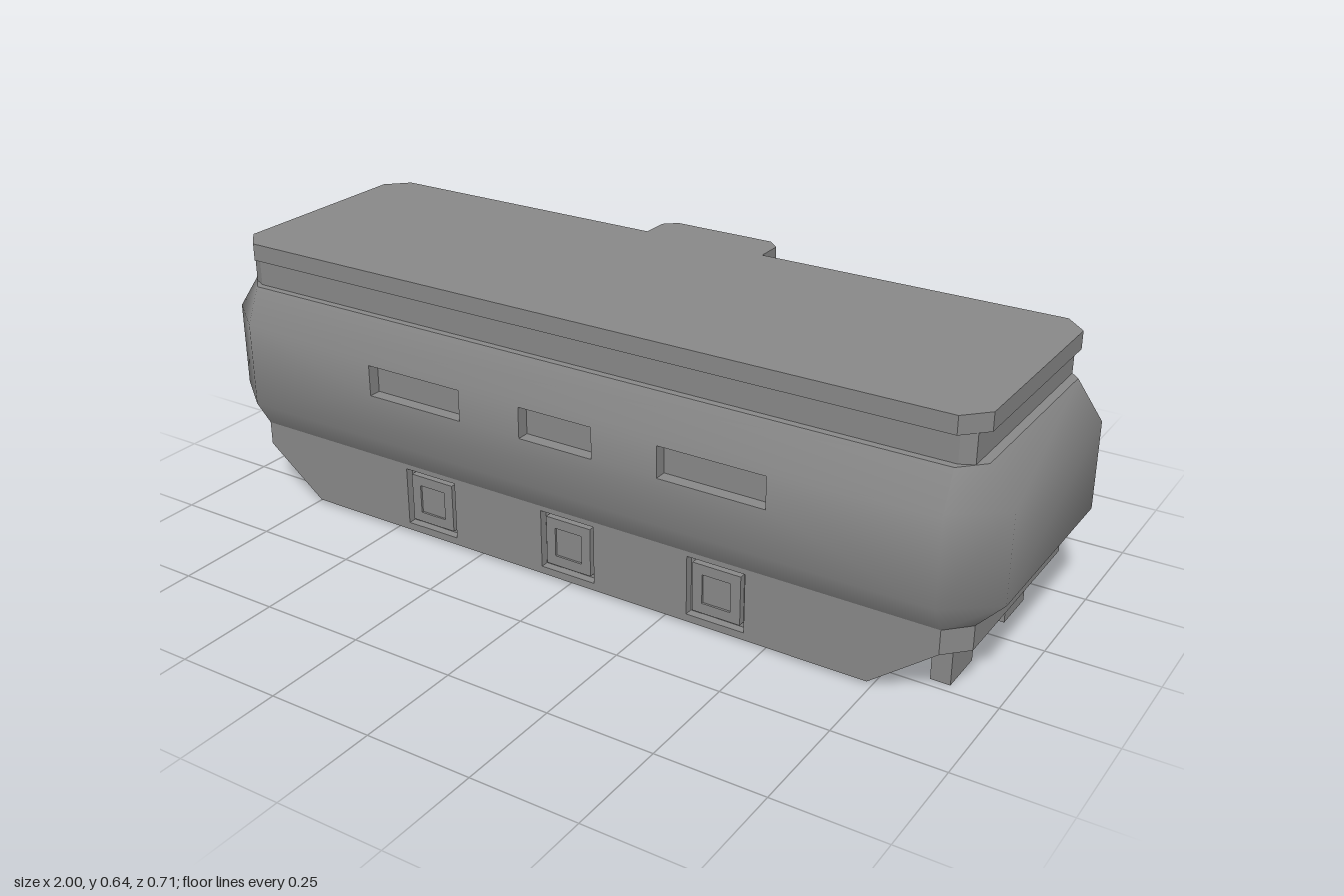
import * as THREE from 'three';

const material = new THREE.MeshStandardMaterial({ color: 0x888888 });

export function createModel() {
  const model = new THREE.Group();

  const add = (name, geometry, x = 0, y = 0, z = 0, parent = model) => {
    const mesh = new THREE.Mesh(geometry, material);
    mesh.name = name;
    mesh.position.set(x, y, z);
    parent.add(mesh);
    return mesh;
  };
  const box = (name, w, h, d, x, y, z) => add(name, new THREE.BoxGeometry(w, h, d), x, y, z);
  const polygon = (points) => new THREE.Shape(points.map(([x, y]) => new THREE.Vector2(x, y)));
  const rect = (x0, x1, y0, y1) => [[x0, y0], [x1, y0], [x1, y1], [x0, y1]];

  // Plan outline (x, z) pulled up from y0 to y1
  const prism = (name, plan, y0, y1) => {
    const g = new THREE.ExtrudeGeometry(polygon(plan.map(([x, z]) => [x, -z])),
      { depth: y1 - y0, bevelEnabled: false });
    return add(name, g.rotateX(-Math.PI / 2), 0, y0, 0);
  };
  // Slab facing +z, front at z = 0, pierced by holes
  const slab = (outline, holes, depth) => {
    const shape = polygon(outline);
    shape.holes = holes.map(polygon);
    return new THREE.ExtrudeGeometry(shape, { depth, bevelEnabled: false }).translate(0, 0, -depth);
  };
  // Chamfered plan, running round from the front left corner
  const octagon = (x, xc, zf, zfc, zb, zbc) => [
    [xc, zf], [x, zfc], [x, zbc], [xc, zb], [0.14, zb],
    [-0.14, zb], [-xc, zb], [-x, zbc], [-x, zfc], [-xc, zf]];

  // Front and back side groups; the back one is turned round
  const front = new THREE.Group(), back = new THREE.Group();
  front.name = 'frontSide';
  back.name = 'backSide';
  back.rotation.y = Math.PI;
  model.add(front, back);

  // Bulging body: four rings, leaving out the window walls and doorway
  const narrow = octagon(0.94, 0.89, 0.317, 0.265, -0.26, -0.21);
  const wide = octagon(1, 0.89, 0.355, 0.268, -0.313, -0.212);
  const rings = [[0.18, narrow], [0.245, wide], [0.45, wide], [0.535, narrow]];
  const positions = rings.flatMap(([y, plan]) => plan.flatMap(([x, z]) => [x, y, z]));
  const all = [], kept = [];
  for (let level = 0; level < 3; level++) {
    for (let i = 0; i < 10; i++) {
      const a = level * 10 + i, b = level * 10 + (i + 1) % 10;
      const quad = [a, b, b + 10, a, b + 10, a + 10];
      all.push(...quad);
      const open = i === 4 || (level === 1 && [3, 5, 9].includes(i));
      if (!open) kept.push(...quad);
    }
  }
  const shell = new THREE.BufferGeometry();
  shell.setAttribute('position', new THREE.Float32BufferAttribute(positions, 3));
  shell.setIndex(all);
  shell.computeVertexNormals();
  shell.setIndex(kept);

  // Shared soft normals, so shell and window walls blend into each other
  const soften = (g, i, zSign) => {
    const p = g.attributes.position;
    const v = new THREE.Vector3(0.12 * p.getX(i) / 0.89, 0.28 * (p.getY(i) - 0.3475) / 0.1025, zSign);
    v.normalize();
    g.attributes.normal.setXYZ(i, v.x, v.y, v.z);
  };
  for (let i = 10; i < 30; i++) {
    if (Math.abs(positions[i * 3]) < 0.9) soften(shell, i, Math.sign(positions[i * 3 + 2]));
  }
  add('bodyShell', shell);

  // Window walls with recessed panes
  const windowWall = (parent, z, x0, x1, windows) => {
    const outline = rect(x0, x1, 0.245, 0.45);
    const g = slab(outline, windows.map(([a, b]) => rect(a, b, 0.355, 0.43)), 0.03);
    for (let i = 0; i < g.attributes.normal.count; i++) {
      if (g.attributes.normal.getZ(i) > 0.9) soften(g, i, 1);
    }
    add('windowWall', g, 0, 0, z, parent);
    add('windowPanes', new THREE.ShapeGeometry(polygon(outline)), 0, 0, z - 0.03, parent);
  };
  windowWall(front, 0.355, -0.89, 0.89, [[-0.52, -0.262], [-0.098, 0.092], [0.256, 0.514]]);
  windowWall(back, 0.313, -0.89, -0.14, [[-0.514, -0.262]]);
  windowWall(back, 0.313, 0.14, 0.89, [[0.262, 0.514]]);

  // Roof stack
  prism('deck', narrow, 0.51, 0.535);
  prism('neck', octagon(0.92, 0.89, 0.3, 0.285, -0.245, -0.23), 0.535, 0.601);
  prism('roof', narrow, 0.601, 0.642);

  // Lower hull: tapered core with hatch walls on both sides
  const hull = [[-0.74, 0.008], [0.74, 0.008], [0.89, 0.123],
    [0.89, 0.182], [-0.89, 0.182], [-0.89, 0.123]];
  add('hullCore', slab(hull, [], 0.537), 0, 0, 0.297);
  const hatchWall = (parent, z, centres, size, inner, panelDepth) => {
    const square = (x, s) => rect(x - s / 2, x + s / 2, 0.097 - s / 2, 0.097 + s / 2);
    add('hullWall', slab(hull, centres.map((x) => square(x, size)), 0.02), 0, 0, z, parent);
    for (const x of centres) {
      add('hatchFrame', slab(square(x, size - 0.024), [square(x, inner)], 0.016), 0, 0, z - 0.004, parent);
      add('hatchPanel', new THREE.ShapeGeometry(polygon(square(x, inner))), 0, 0, z - panelDepth, parent);
    }
  };
  hatchWall(front, 0.317, [-0.388, -0.002, 0.38], 0.142, 0.07, 0.009);
  hatchWall(back, 0.26, [-0.385, 0.39], 0.108, 0.04, 0.016);

  // End bumpers and feet
  for (const s of [1, -1]) {
    prism('endBumper', [[s * 0.88, 0.317], [s * 0.89, 0.317], [s * 0.94, 0.265],
      [s * 0.94, -0.21], [s * 0.89, -0.26], [s * 0.88, -0.26]], 0.123, 0.182);
    for (const z of [0.171, -0.117]) box('foot', 0.045, 0.117, 0.112, s * 0.8625, 0.0585, z);
  }

  // Doorway on the back
  const frame = rect(-0.155, 0.155, 0.008, 0.517);
  add('doorFrame', slab(frame, [rect(-0.105, 0.105, 0.045, 0.46)], 0.09), 0, 0, 0.346, back);
  box('door', 0.29, 0.48, 0.03, 0, 0.265, -0.253);

  // Two-layer canopy above the door, on a flared mount
  const canopy = [[-0.16, -0.23], [0.155, -0.23], [0.155, -0.327],
    [0.125, -0.354], [-0.13, -0.354], [-0.16, -0.327]];
  prism('canopyMount', [[-0.18, -0.24], [0.175, -0.24], [0.156, -0.261], [-0.161, -0.261]], 0.535, 0.601);
  prism('canopyLower', canopy, 0.534, 0.564);
  prism('canopyUpper', canopy, 0.572, 0.642);

  // Small wall box beside the back window
  box('wallBox', 0.058, 0.077, 0.05, 0.639, 0.392, -0.315);

  return model;
}
